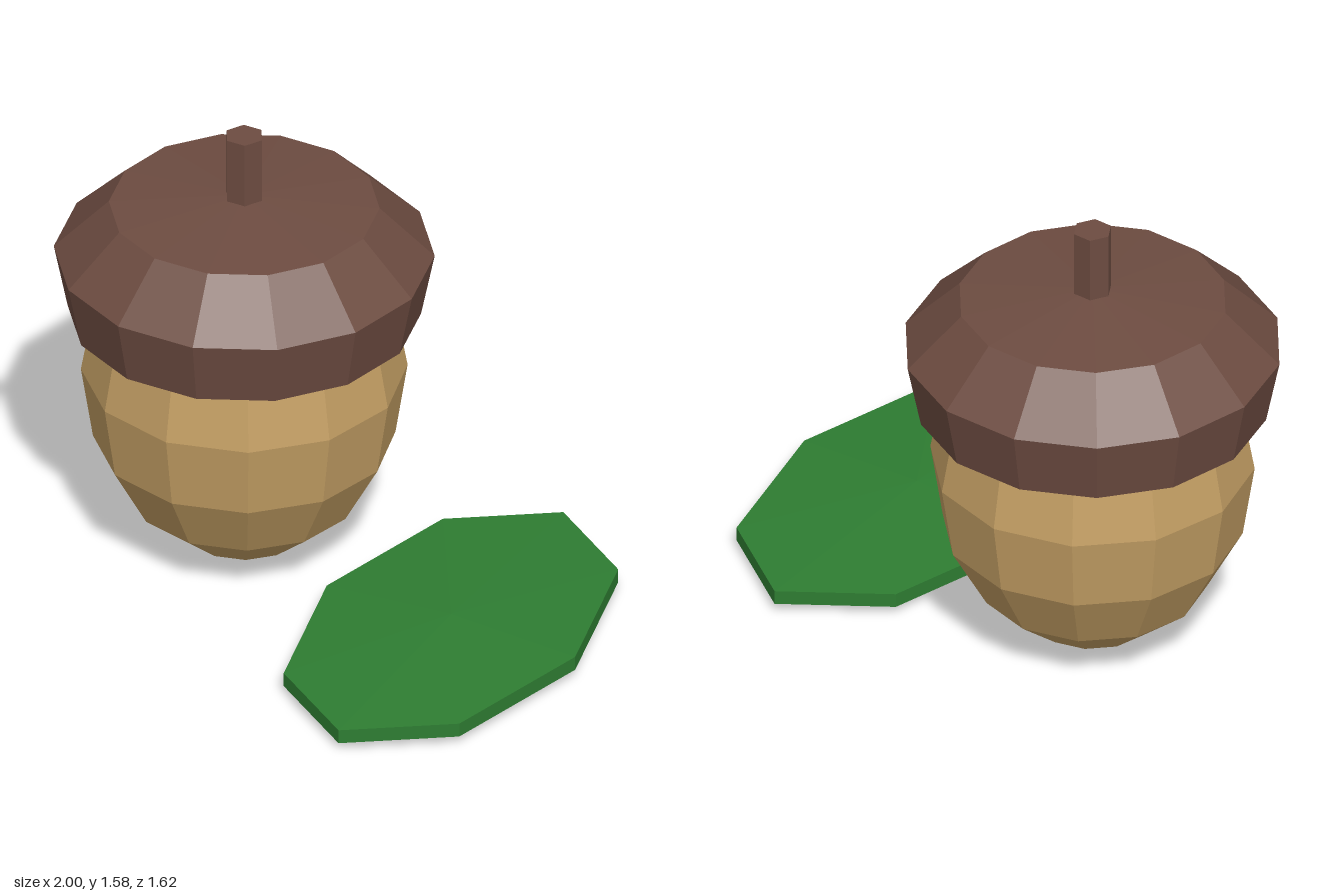
import * as THREE from 'three';

// Faceted solid of revolution from [radius, y] points listed bottom to top
function turned(name, points, sides, color) {
  const profile = points.map(([r, y]) => new THREE.Vector2(r, y));
  const geometry = new THREE.LatheGeometry(profile, sides, Math.PI / 2);
  const material = new THREE.MeshStandardMaterial({ color, flatShading: true });
  const mesh = new THREE.Mesh(geometry, material);
  mesh.name = name;
  return mesh;
}

export function createModel() {
  const model = new THREE.Group();
  model.name = 'acornAndLeaf';

  const acorn = new THREE.Group();
  acorn.name = 'acorn';
  acorn.position.set(-0.37, 0, -0.2);

  // Nut, closed inside the cap
  acorn.add(turned('nut', [
    [0, 0.005], [0.205, 0.055], [0.38, 0.2], [0.5, 0.42],
    [0.54, 0.68], [0.5, 0.9], [0, 1.0],
  ], 12, 0xc49f64));

  // Cap, its underside sloping down into the nut
  acorn.add(turned('cap', [
    [0, 0.78], [0.585, 0.905], [0.63, 1.13], [0.448, 1.31], [0, 1.35],
  ], 14, 0x6d4c41));

  // Stem
  acorn.add(turned('stem', [
    [0, 1.3], [0.066, 1.3], [0.066, 1.58], [0, 1.58],
  ], 6, 0x6d4c41));
  model.add(acorn);

  // Leaf: a shallow eight-sided disc stretched lengthwise
  const leaf = turned('leaf', [
    [0, 0], [1, 0.03], [1, 0.08], [0, 0.108],
  ], 8, 0x2e7d32);
  leaf.geometry.scale(0.467, 1, 0.777);
  leaf.position.set(0.53, 0, 0.025);
  model.add(leaf);

  return model;
}
